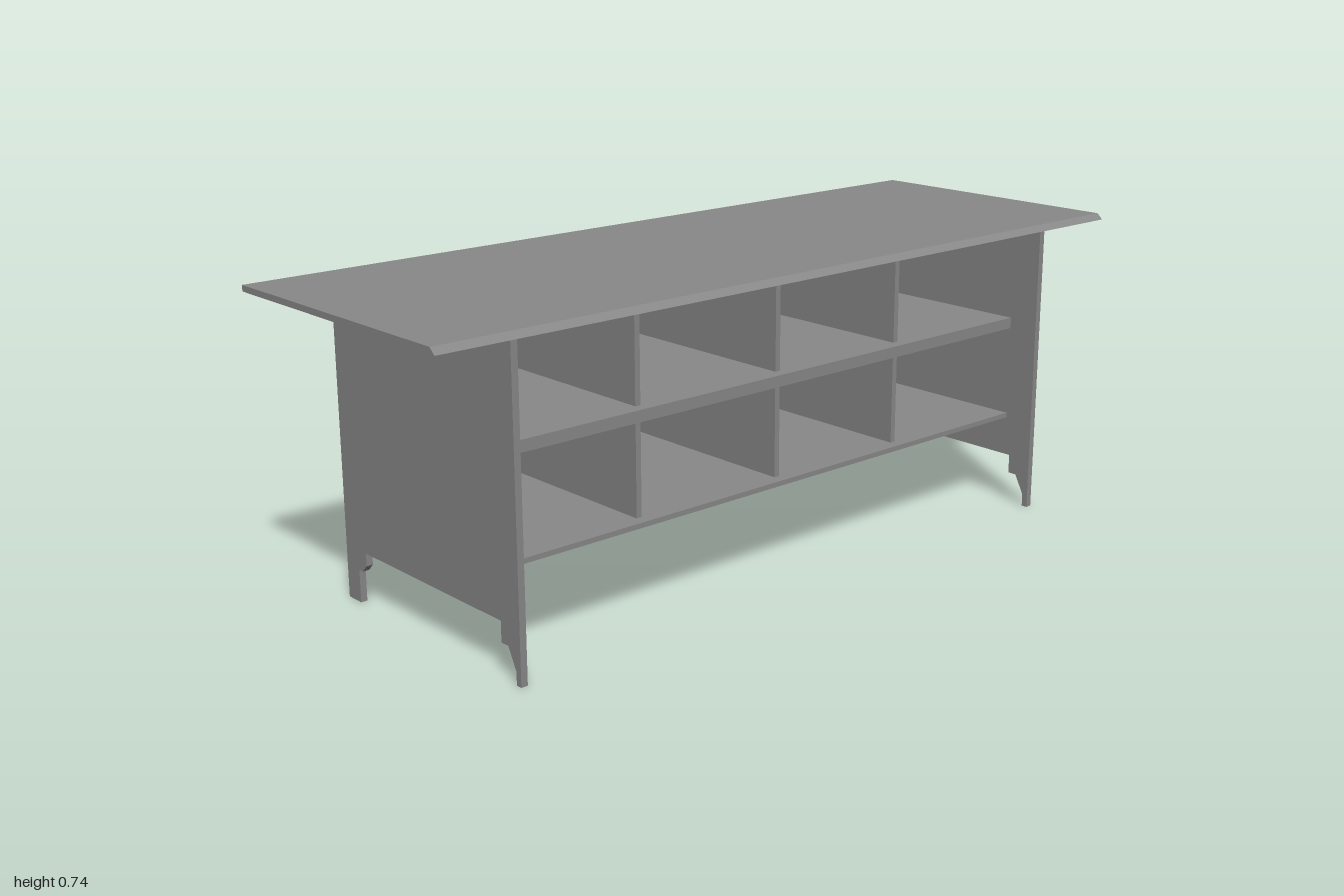
import * as THREE from 'three';

const material = new THREE.MeshStandardMaterial({ color: 0x888888, flatShading: true });

// Extrudes a [z, y] outline along x, centred on the given x.
function profileAlongX(name, points, width, x) {
  const shape = new THREE.Shape(points.map(([z, y]) => new THREE.Vector2(-z, y)));
  const geometry = new THREE.ExtrudeGeometry(shape, { depth: width, bevelEnabled: false });
  geometry.translate(0, 0, -width / 2);
  geometry.rotateY(Math.PI / 2);
  const mesh = new THREE.Mesh(geometry, material);
  mesh.name = name;
  mesh.position.x = x;
  return mesh;
}

// Box given by its limits on each axis.
function board(name, [x0, x1], [y0, y1], [z0, z1]) {
  const mesh = new THREE.Mesh(new THREE.BoxGeometry(x1 - x0, y1 - y0, z1 - z0), material);
  mesh.name = name;
  mesh.position.set((x0 + x1) / 2, (y0 + y1) / 2, (z0 + z1) / 2);
  return mesh;
}

export function createModel() {
  const table = new THREE.Group();
  table.name = 'shelfTable';

  // Table top with a sloping front edge
  table.add(profileAlongX('tableTop',
    [[0.355, 0.725], [-0.355, 0.725], [-0.355, 0.739], [0.34, 0.739]], 2, 0));

  // End panels, cut out below into shaped feet
  const panel = [
    [0.323, 0], [0.308, 0], [0.308, 0.03], [0.283, 0.078], [0.26, 0.078], [0.26, 0.125],
    [-0.243, 0.125], [-0.243, 0.095], [-0.26, 0.078], [-0.275, 0.078], [-0.275, 0],
    [-0.323, 0], [-0.323, 0.725], [0.323, 0.725],
  ];
  table.add(profileAlongX('leftPanel', panel, 0.016, 0.801));
  table.add(profileAlongX('rightPanel', panel, 0.016, -0.801));

  // Shelves between the panels, set back from their edges
  const shelfX = [-0.793, 0.793];
  const shelfZ = [-0.285, 0.245];
  table.add(board('lowerShelf', shelfX, [0.223, 0.235], shelfZ));
  table.add(board('middleShelf', shelfX, [0.458, 0.485], shelfZ));

  // Upright dividers on both levels
  for (const x of [-0.41, 0, 0.392]) {
    for (const [name, y] of [['lowerDivider', [0.235, 0.458]], ['upperDivider', [0.485, 0.725]]]) {
      table.add(board(name, [x - 0.007, x + 0.007], y, [-0.28, 0.217]));
    }
  }
  return table;
}
